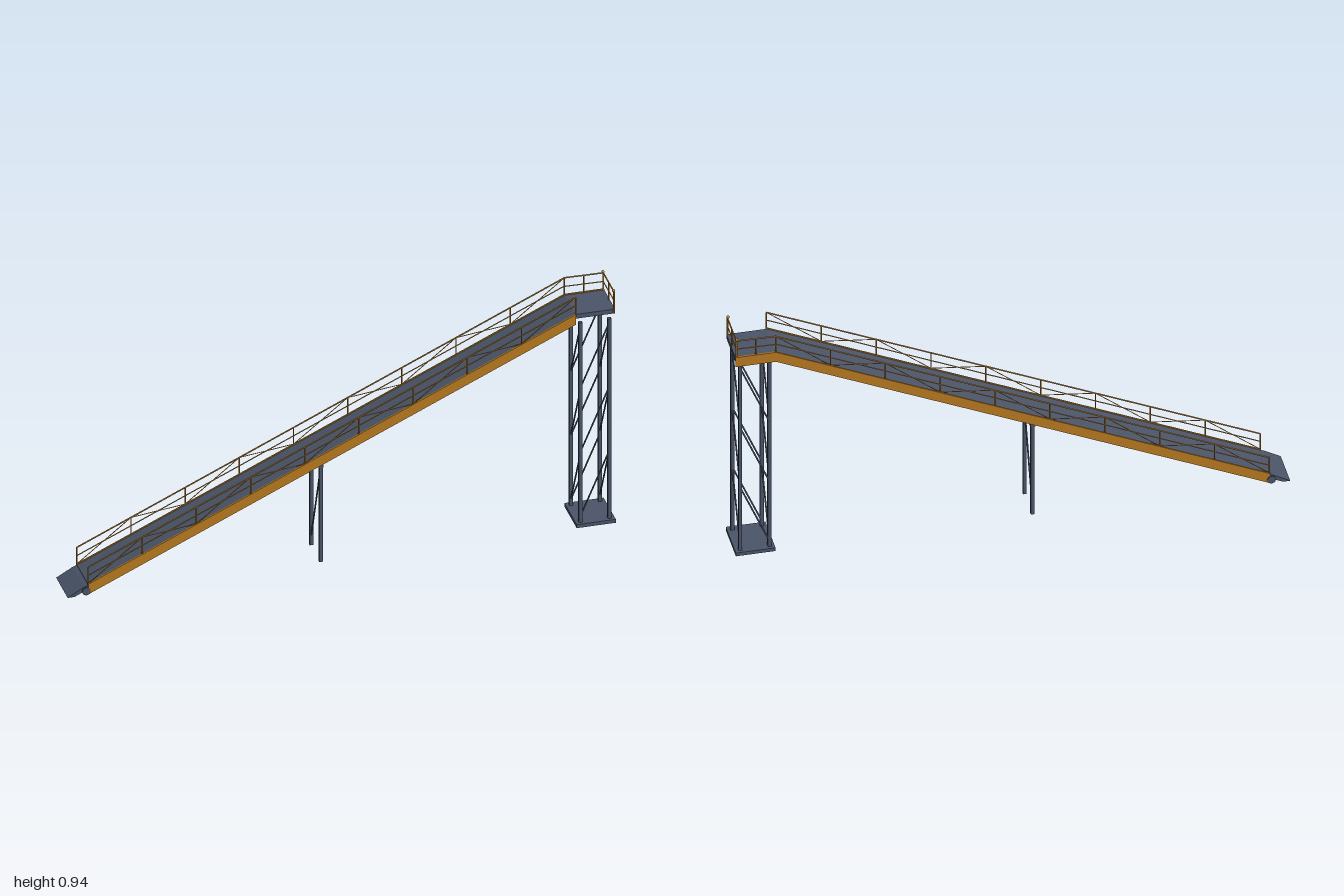
import * as THREE from 'three';

const steel = new THREE.MeshStandardMaterial({ color: 0x4a5568 });
steel.name = 'slate steel';
const orange = new THREE.MeshStandardMaterial({ color: 0xb7791f });
orange.name = 'ochre paint';

// Ramp line: deck surface height at x
const X0 = -0.925, X1 = 0.855, Y0 = 0.045, Y1 = 0.862;
const deckY = (x) => Y0 + ((Y1 - Y0) * (x - X0)) / (X1 - X0);
const V = (x, y, z) => new THREE.Vector3(x, y, z);

function add(parent, name, geometry, material) {
  const mesh = new THREE.Mesh(geometry, material);
  mesh.name = name;
  parent.add(mesh);
  return mesh;
}

function box(parent, name, material, x0, x1, y0, y1, z0, z1) {
  const mesh = add(parent, name, new THREE.BoxGeometry(x1 - x0, y1 - y0, z1 - z0), material);
  mesh.position.set((x0 + x1) / 2, (y0 + y1) / 2, (z0 + z1) / 2);
  return mesh;
}

// Round bar between two points
function bar(parent, name, material, a, b, radius) {
  const mesh = add(parent, name, new THREE.CylinderGeometry(radius, radius, a.distanceTo(b), 8), material);
  mesh.position.copy(a).add(b).multiplyScalar(0.5);
  mesh.quaternion.setFromUnitVectors(V(0, 1, 0), b.clone().sub(a).normalize());
  return mesh;
}

// Side profile in x/y, extruded from z0 to z1
function profile(parent, name, material, points, z0, z1) {
  const shape = new THREE.Shape(points.map(([x, y]) => new THREE.Vector2(x, y)));
  const geometry = new THREE.ExtrudeGeometry(shape, { depth: z1 - z0, bevelEnabled: false });
  geometry.translate(0, 0, z0);
  return add(parent, name, geometry, material);
}

function createRamp() {
  const g = new THREE.Group();
  g.name = 'ramp';
  profile(g, 'rampDeck', steel,
    [[X0, Y0 - 0.02], [X1, Y1 - 0.02], [X1, Y1 - 0.003], [X0, Y0 - 0.003]], -0.071, 0.071);
  for (const s of [-1, 1]) {
    const z = s * 0.074;
    profile(g, 'sideGirder', orange,
      [[X0, Y0 - 0.041], [X1, Y1 - 0.041], [X1, Y1], [X0, Y0]], z - 0.003, z + 0.003);
  }
  // Entry lip and its hinge
  profile(g, 'entryLip', steel,
    [[-1, 0], [-0.975, 0], [-0.92, 0.026], [-0.92, 0.042], [-0.94, 0.034]], -0.075, 0.075);
  bar(g, 'lipHinge', steel, V(-0.932, 0.018, -0.08), V(-0.932, 0.018, 0.08), 0.016);
  return g;
}

function createRampRailing(s) {
  const g = new THREE.Group();
  g.name = s > 0 ? 'frontRailing' : 'backRailing';
  const z = s * 0.073, bays = 9, height = 0.067;
  const at = (i, h) => {
    const x = X0 + ((X1 - X0) * i) / bays;
    return V(x, deckY(x) + h, z);
  };
  bar(g, 'topRail', orange, at(0, height), at(bays, height), 0.0027);
  bar(g, 'midRail', orange, at(0, height / 2), at(bays, height / 2), 0.002);
  for (let i = 0; i <= bays; i++) {
    bar(g, 'railPost', orange, at(i, -0.01), at(i, height), 0.0025);
    // Zigzag bracing
    if (i < bays) {
      const up = i % 2 === 0;
      bar(g, 'railBrace', orange, at(i, up ? 0 : height), at(i + 1, up ? height : 0), 0.0015);
    }
  }
  return g;
}

function createPlatform() {
  const g = new THREE.Group();
  g.name = 'platform';
  box(g, 'platformDeck', steel, X1, 1, 0.842, 0.859, -0.071, 0.071);
  box(g, 'platformGirder', orange, X1, 1, 0.821, Y1, -0.077, -0.071);
  // Guard rails along the back and the end; the front stays open
  const xe = 0.996, z = 0.07;
  for (const [y, r] of [[0.929, 0.0027], [0.894, 0.002]]) {
    bar(g, 'backGuardRail', orange, V(X1, y, -0.073), V(xe, y, -z), r);
    bar(g, 'endGuardRail', orange, V(xe, y, -z), V(xe, y, z), r);
  }
  bar(g, 'guardPost', orange, V(0.926, 0.855, -0.072), V(0.926, 0.929, -0.072), 0.0025);
  bar(g, 'guardPost', orange, V(xe, 0.855, 0), V(xe, 0.929, 0), 0.0025);
  for (const s of [-1, 1]) {
    bar(g, 'cornerPost', orange, V(xe, 0.845, s * z), V(xe, 0.932, s * z), 0.0035);
    const cap = add(g, 'postCap', new THREE.SphereGeometry(0.0055, 12, 8), orange);
    cap.position.set(0.9945, 0.934, s * z);
  }
  return g;
}

function createTower() {
  const g = new THREE.Group();
  g.name = 'supportTower';
  box(g, 'basePlate', steel, 0.857, 1, 0, 0.014, -0.08, 0.08);
  const xs = [0.875, 0.981], zs = [-0.062, 0.062], w = 0.0065;
  for (const x of xs) {
    for (const z of zs) box(g, 'towerLeg', steel, x - w, x + w, 0.014, 0.821, z - w, z + w);
  }
  // Three diagonal braces on each face
  for (let i = 0; i < 3; i++) {
    const lo = 0.035 + i * 0.259, hi = lo + 0.25;
    for (const z of zs) bar(g, 'towerBrace', steel, V(xs[0], lo, z), V(xs[1], hi, z), 0.003);
    for (const x of xs) bar(g, 'towerBrace', steel, V(x, hi, zs[1]), V(x, lo, zs[0]), 0.003);
  }
  return g;
}

function createMidSupport() {
  const g = new THREE.Group();
  g.name = 'midSupport';
  const x = -0.073, w = 0.0065;
  for (const z of [-0.062, 0.062]) box(g, 'midLeg', steel, x - w, x + w, 0, 0.385, z - w, z + w);
  box(g, 'midCrossBeam', steel, x - 0.009, x + 0.009, 0.382, 0.397, -0.07, 0.07);
  bar(g, 'midBrace', steel, V(x, 0.37, 0.06), V(x, 0.035, -0.06), 0.003);
  return g;
}

export function createModel() {
  const model = new THREE.Group();
  model.name = 'loadingRamp';
  model.add(createRamp(), createRampRailing(1), createRampRailing(-1),
    createPlatform(), createTower(), createMidSupport());
  return model;
}
